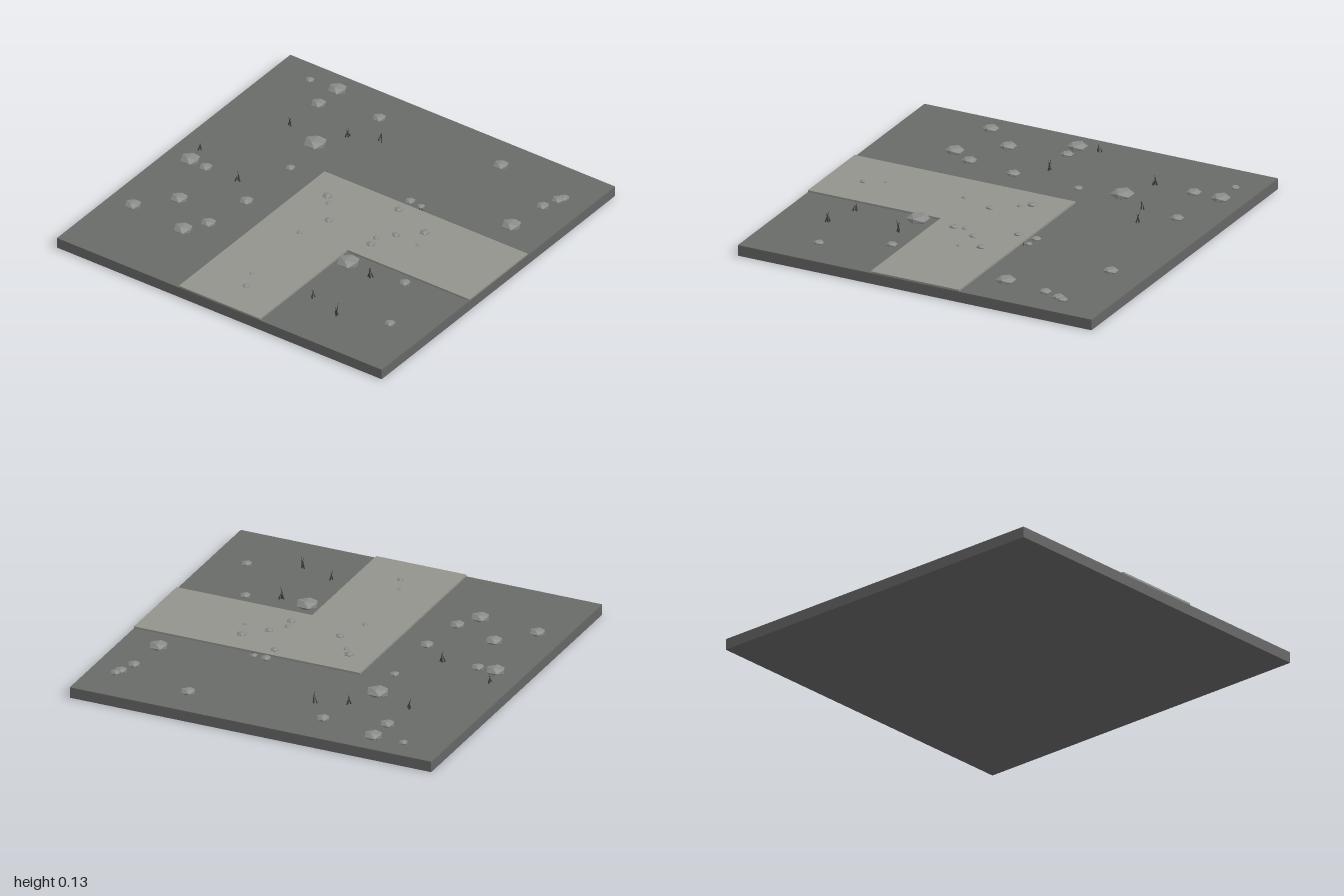
import * as THREE from 'three';

const mat = (name, color) => {
  const m = new THREE.MeshStandardMaterial({ color });
  m.name = name;
  return m;
};

export function createModel() {
  const model = new THREE.Group();
  const earth = mat('dark earth', 0x666666);
  const soil = mat('grey soil', 0x686b67);
  const paving = mat('pale path', 0x93938d);
  const stone = mat('stone', 0x8a8c89);
  const grass = mat('dry grass', 0x3c3f3b);
  for (const m of [stone, grass]) m.flatShading = true;

  const add = (name, geometry, material, parent = model) => {
    const mesh = new THREE.Mesh(geometry, material);
    mesh.name = name;
    parent.add(mesh);
    return mesh;
  };
  const group = (name) => {
    const g = new THREE.Group();
    g.name = name;
    model.add(g);
    return g;
  };

  // Square slab with a thin soil layer
  const GROUND = 0.058, PATH = 0.068;
  add('slab', new THREE.BoxGeometry(2, 0.052, 2), earth).position.y = 0.026;
  add('soil', new THREE.BoxGeometry(2, 0.006, 2), soil).position.y = 0.055;

  // Corner path: in from the right edge, out through the front (shape y is -z)
  const corner = new THREE.Shape([
    [-1, 0.25], [-1, -0.25], [-0.25, -0.25], [-0.25, -1], [0.25, -1], [0.25, 0.25],
  ].map(([x, y]) => new THREE.Vector2(x, y)));
  const path = add('path', new THREE.ExtrudeGeometry(corner, { depth: PATH - GROUND, bevelEnabled: false }), paving);
  path.rotation.x = -Math.PI / 2;
  path.position.y = GROUND;

  // Squashed low-poly stones: x, z, half width
  const rockGeometry = new THREE.IcosahedronGeometry(1, 0);
  const scatter = (name, list, level, squash, sink) => {
    const parent = group(name + 's');
    for (const [x, z, half] of list) {
      const r = half / 0.85;
      const rock = add(name, rockGeometry, stone, parent);
      rock.scale.set(r, r * squash, r);
      rock.position.set(x, level + r * sink, z);
    }
  };
  scatter('rock', [
    [-0.55, -0.855, 0.038], [-0.06, -0.855, 0.046], [-0.065, -0.755, 0.03],
    [-0.37, -0.7, 0.04], [-0.58, -0.525, 0.044], [-0.46, -0.455, 0.035],
    [-0.19, -0.415, 0.032], [0.18, -0.41, 0.022], [0.42, -0.43, 0.053],
    [0.72, -0.625, 0.035], [0.875, -0.62, 0.044], [0.87, -0.785, 0.021],
    [0.795, -0.305, 0.031], [0.81, 0.435, 0.035], [-0.34, 0.32, 0.053],
    [-0.315, 0.65, 0.026], [-0.65, 0.8, 0.025], [0.405, 0.79, 0.045],
    [0.64, 0.815, 0.029], [0.73, 0.845, 0.029], [0.76, 0.86, 0.025],
    [0.29, 0.25, 0.024], [0.285, 0.32, 0.018],
  ], GROUND, 0.4, 0.3);
  scatter('pebble', [
    [-0.805, 0.025, 0.017], [-0.7, -0.02, 0.01], [-0.265, -0.035, 0.014],
    [-0.09, 0.02, 0.021], [0.03, -0.07, 0.014], [0.08, -0.11, 0.024],
    [0.19, 0.25, 0.021], [-0.14, 0.315, 0.022], [-0.08, 0.305, 0.016],
    [0, 0.37, 0.021], [0.1, 0.475, 0.024], [-0.01, 0.51, 0.011],
  ], PATH, 0.4, 0.1);

  // Grass tufts of thin leaning blades: x, z, height
  const blade = new THREE.ConeGeometry(0.0045, 1, 4).translate(0, 0.5, 0);
  const tufts = group('grassTufts');
  const leans = [[0.2, -0.25, 1], [-0.22, 0.12, 0.8], [0.05, 0.3, 0.6]];
  [
    [0.055, -0.88, 0.05], [-0.065, -0.56, 0.07], [0.495, -0.635, 0.06],
    [0.58, -0.345, 0.06], [0.635, -0.185, 0.075], [-0.68, 0.35, 0.06],
    [-0.365, 0.475, 0.075], [-0.74, 0.53, 0.075], [0.255, 0.335, 0.015],
  ].forEach(([x, z, height], i) => {
    const tuft = new THREE.Group();
    tuft.name = 'grassTuft';
    tuft.position.set(x, GROUND, z);
    tuft.rotation.y = i * 1.9;
    tufts.add(tuft);
    leans.forEach(([ax, az, k], j) => {
      const b = add('blade', blade, grass, tuft);
      b.position.set((j - 1) * 0.012, 0, (j % 2) * 0.01);
      b.rotation.set(ax, 0, az);
      b.scale.y = height * k;
    });
  });

  return model;
}
